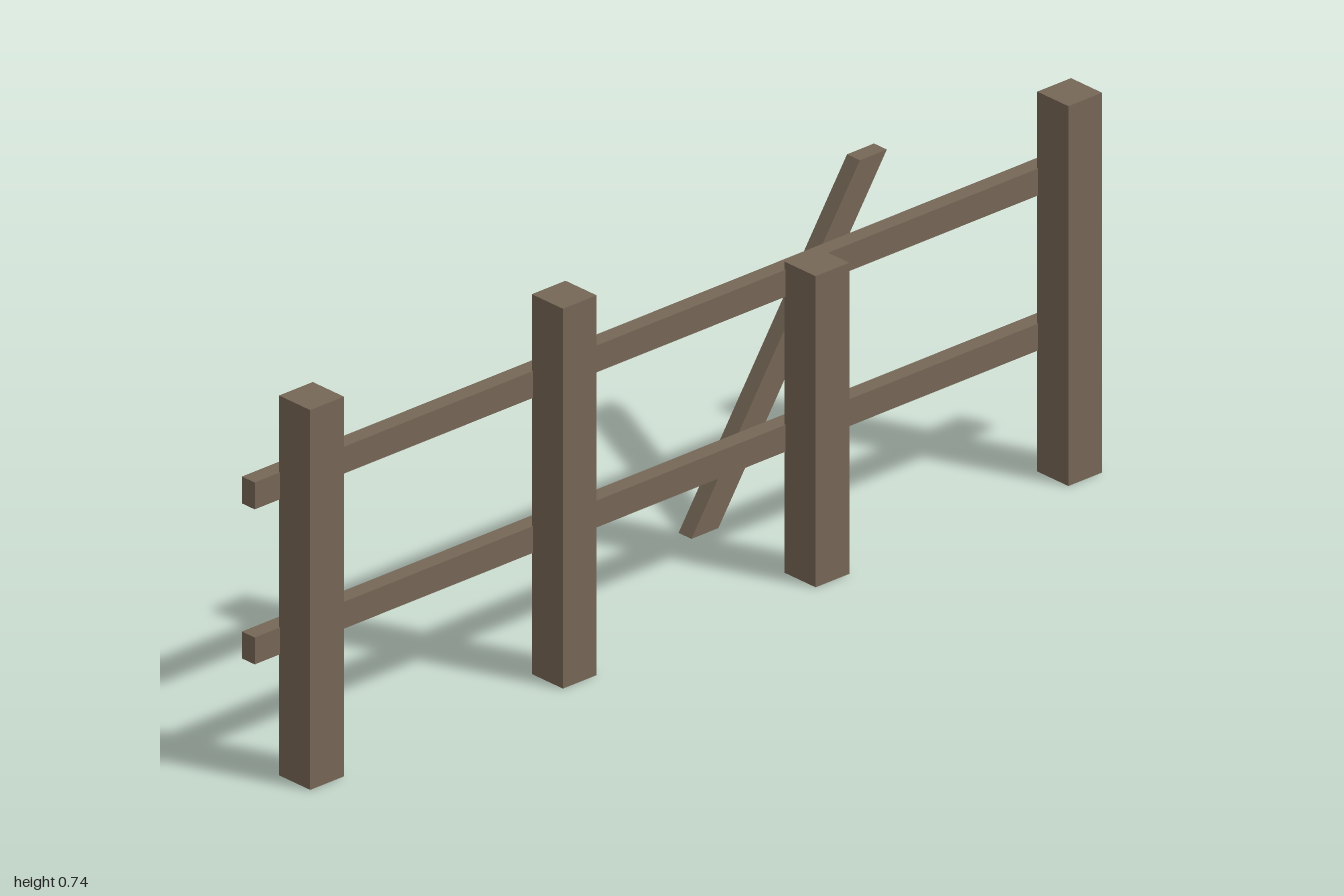
import * as THREE from 'three';

export function createModel() {
  const fence = new THREE.Group();
  fence.name = 'fence';
  const wood = new THREE.MeshStandardMaterial({ color: 0x766756 });
  wood.name = 'weathered wood';

  const add = (name, geometry, x, y, z) => {
    const mesh = new THREE.Mesh(geometry, wood);
    mesh.name = name;
    mesh.position.set(x, y, z);
    fence.add(mesh);
  };

  // Square posts, one of them shorter
  [0.735, 0.735, 0.602, 0.735].forEach((height, i) => {
    add(`post${i + 1}`, new THREE.BoxGeometry(0.08, height, 0.08), -0.9 + i * 0.6, height / 2, 0.122);
  });

  // Two rails along the back of the posts, slightly let in
  [['lowerRail', 0.261], ['upperRail', 0.561]].forEach(([name, y]) => {
    add(name, new THREE.BoxGeometry(2, 0.052, 0.033), 0, y, 0.068);
  });

  // Loose slanted plank behind the fence, with level-cut ends
  const outline = new THREE.Shape([
    new THREE.Vector2(0.233, 0),
    new THREE.Vector2(0.297, 0),
    new THREE.Vector2(0.697, 0.602),
    new THREE.Vector2(0.633, 0.602),
  ]);
  const plank = new THREE.ExtrudeGeometry(outline, { depth: 0.033, bevelEnabled: false });
  add('slantedPlank', plank, 0, 0, -0.161);

  return fence;
}
